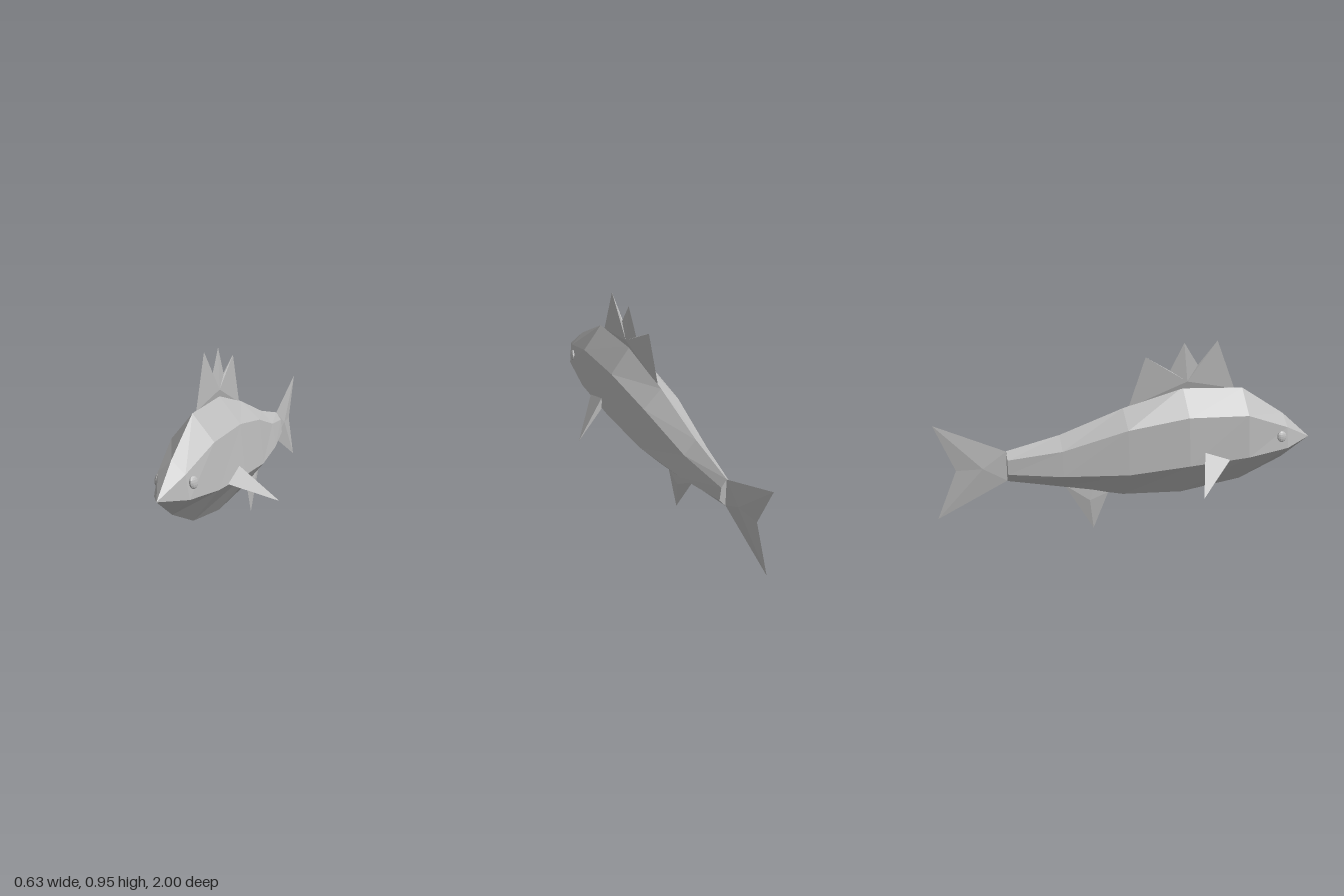
import * as THREE from 'three';

const grey = new THREE.MeshStandardMaterial({ color: 0xbbbbbb, flatShading: true, side: THREE.DoubleSide });
grey.name = 'fish grey';

// Faceted mesh from a list of corner triples
function facetMesh(name, triangles) {
  const geo = new THREE.BufferGeometry();
  geo.setAttribute('position', new THREE.Float32BufferAttribute(triangles.flat(2), 3));
  geo.computeVertexNormals();
  const mesh = new THREE.Mesh(geo, grey);
  mesh.name = name;
  return mesh;
}

// Six-sided body sections: z, top y, shoulder x, y, flank x, y, belly y
const sections = [
  [1.0, 0.385, 0, 0.385, 0, 0.385, 0.385],
  [0.84, 0.53, 0.065, 0.47, 0.085, 0.36, 0.285],
  [0.6, 0.69, 0.105, 0.565, 0.127, 0.345, 0.187],
  [0.27, 0.72, 0.112, 0.585, 0.138, 0.335, 0.147],
  [-0.05, 0.635, 0.1, 0.545, 0.123, 0.317, 0.17],
  [-0.38, 0.525, 0.065, 0.457, 0.083, 0.33, 0.25],
  [-0.65, 0.467, 0.028, 0.427, 0.035, 0.355, 0.31],
];

function buildBody() {
  const rings = sections.map(([z, top, sx, sy, fx, fy, belly]) => [
    [0, top, z], [-sx, sy, z], [-fx, fy, z], [0, belly, z], [fx, fy, z], [sx, sy, z],
  ]);
  const tris = [];
  for (let r = 0; r < rings.length - 1; r++) {
    const a = rings[r], b = rings[r + 1];
    for (let i = 0; i < 6; i++) {
      const j = (i + 1) % 6;
      tris.push([a[i], b[i], b[j]]);
      if (r > 0) tris.push([a[i], b[j], a[j]]);
    }
  }
  // flat end at the tail root
  const end = rings[rings.length - 1];
  for (let i = 1; i < 5; i++) tris.push([end[0], end[i + 1], end[i]]);
  return facetMesh('body', tris);
}

// Upright fin: a [z, y] outline swelling to a central point on each side
function buildFin(name, outline, [cz, cy], bulge) {
  const tris = [];
  outline.forEach(([z, y], i) => {
    const [nz, ny] = outline[(i + 1) % outline.length];
    const p = [0, y, z], q = [0, ny, nz];
    tris.push([[bulge, cy, cz], q, p], [[-bulge, cy, cz], p, q]);
  });
  return facetMesh(name, tris);
}

// Side fin: a slim three-sided spike
function buildSideFin(name, s) {
  const front = [s * 0.13, 0.345, 0.49], upper = [s * 0.135, 0.4, 0.35];
  const lower = [s * 0.125, 0.335, 0.36], tip = [s * 0.313, 0.225, 0.28];
  const tris = [[front, tip, upper], [upper, tip, lower], [lower, tip, front], [front, upper, lower]];
  return facetMesh(name, s > 0 ? tris : tris.map(([a, b, c]) => [a, c, b]));
}

function buildEye(name, s) {
  const eye = new THREE.Mesh(new THREE.SphereGeometry(0.029, 10, 8), grey);
  eye.name = name;
  eye.scale.x = 0.4;
  eye.position.set(s * 0.086, 0.428, 0.8);
  eye.rotation.set(0, -s * 0.25, s * 0.2);
  return eye;
}

export function createModel() {
  const fish = new THREE.Group();
  fish.name = 'fish';
  fish.add(
    buildBody(),
    buildFin('dorsalFin', [[0.555, 0.69], [0.455, 0.95], [0.35, 0.83], [0.275, 0.95], [0.2, 0.81],
      [0.07, 0.89], [-0.02, 0.635], [0.27, 0.69]], [0.29, 0.75], 0.013),
    buildFin('tailFin', [[-0.65, 0.465], [-1, 0.63], [-0.9, 0.39], [-1, 0.148], [-0.65, 0.312]],
      [-0.77, 0.39], 0.013),
    buildFin('bellyFin', [[-0.13, 0.19], [-0.2, 0.25], [-0.36, 0.255], [-0.21, 0]], [-0.23, 0.16], 0.01),
  );
  for (const [side, s] of [['left', 1], ['right', -1]]) {
    fish.add(buildSideFin(side + 'SideFin', s), buildEye(side + 'Eye', s));
  }
  return fish;
}
